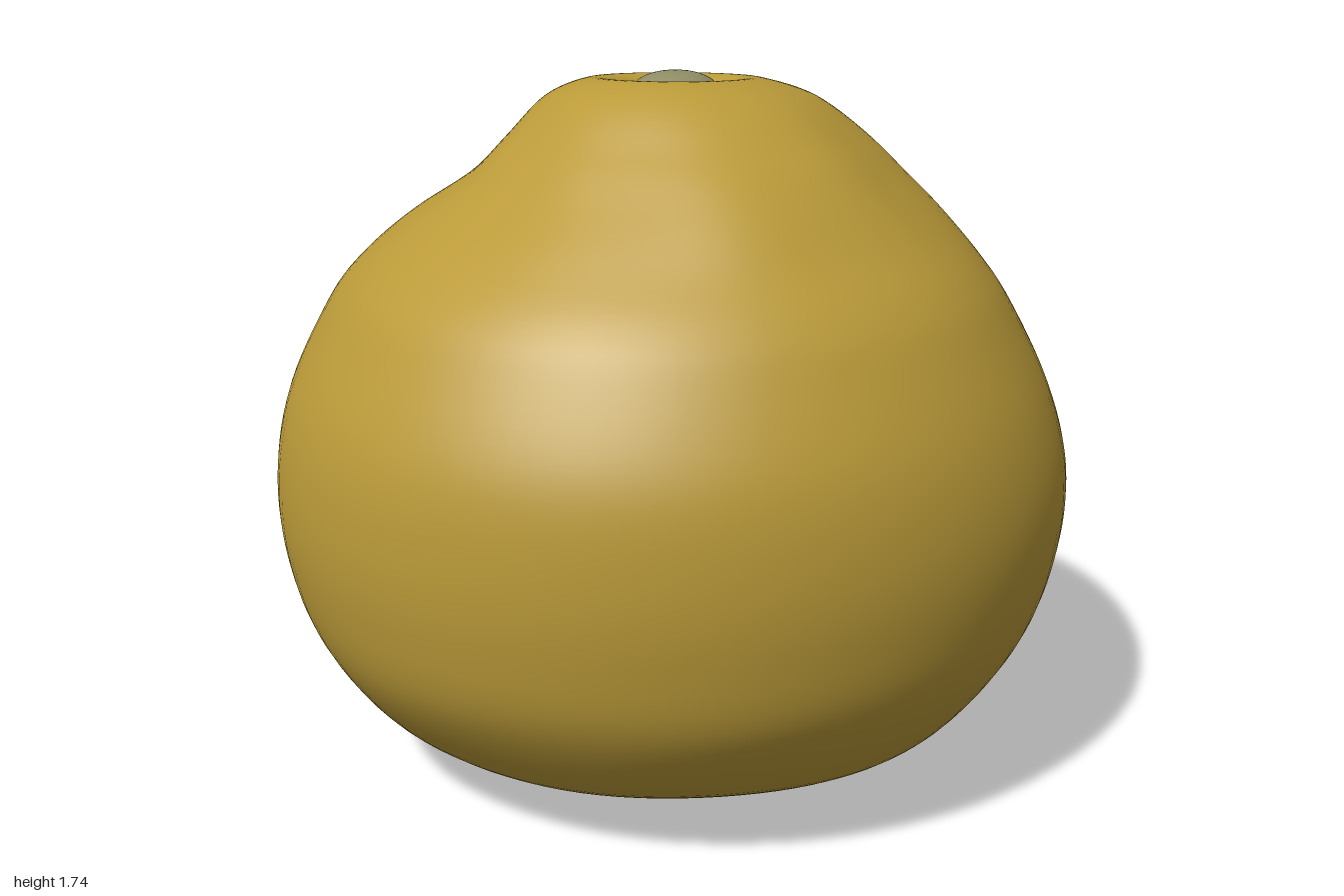
import * as THREE from 'three';

const peel = new THREE.MeshStandardMaterial({ color: 0xba9a39 });
peel.name = 'ochre peel';
const scar = new THREE.MeshStandardMaterial({ color: 0x8f8d64 });
scar.name = 'grey green stem';

// Fruit cross-sections from bottom to top: height, left, right, back and front reach
const sections = [
  [0.015, 0, 0, 0, 0], [0.02, -0.04, 0.04, -0.04, 0.04],
  [0.05, -0.09, 0.09, -0.09, 0.09], [0.05, -0.14, 0.14, -0.14, 0.14],
  [0.015, -0.25, 0.25, -0.2, 0.25], [0.005, -0.34, 0.35, -0.27, 0.35],
  [0.03, -0.46, 0.47, -0.37, 0.44], [0.1, -0.64, 0.65, -0.55, 0.58],
  [0.2, -0.78, 0.79, -0.72, 0.74], [0.4, -0.92, 0.92, -0.87, 0.895],
  [0.6, -0.985, 0.985, -0.94, 0.95], [0.8, -0.995, 0.995, -0.96, 0.965],
  [1.0, -0.95, 0.94, -0.91, 0.94], [1.2, -0.85, 0.84, -0.81, 0.85],
  [1.3, -0.77, 0.77, -0.72, 0.78], [1.4, -0.65, 0.68, -0.62, 0.67],
  [1.5, -0.5, 0.58, -0.52, 0.56], [1.6, -0.4, 0.48, -0.44, 0.44],
  [1.69, -0.31, 0.36, -0.35, 0.3], [1.73, -0.22, 0.24, -0.28, 0.2],
  [1.732, -0.16, 0.18, -0.22, 0.13], [1.705, -0.11, 0.13, -0.17, 0.07],
  [1.69, -0.07, 0.09, -0.13, 0.03], [1.69, 0.01, 0.01, -0.05, -0.05],
];

function spline(i, j) {
  const points = sections.map(s => new THREE.Vector3(s[0], s[i], s[j]));
  return new THREE.CatmullRomCurve3(points, false, 'catmullrom', 0.5);
}

const bump = (d, width) => Math.exp(-((d / width) ** 2));

// Gentle folds around the neck and faint waviness on the body
function unevenness(angle, y) {
  const neck = bump(y - 1.52, 0.16);
  const turn = Math.atan2(Math.sin(angle + 0.8), Math.cos(angle + 0.8));
  const folds = 0.012 * Math.sin(4 * angle + 6 * y) + 0.008 * Math.sin(9 * angle - 7 * y);
  const groove = -0.05 * bump(turn, 0.22) + 0.025 * bump(turn + 0.5, 0.25);
  const body = 0.004 * Math.sin(3 * angle + 2 * y) + 0.004 * bump(y - 0.2, 0.2) * Math.sin(7 * angle + 9 * y);
  return 1 + neck * (folds + groove) + body;
}

function fruitGeometry() {
  const sides = 96, rows = 138;
  const across = spline(1, 2), deep = spline(3, 4);
  const positions = [], index = [];
  for (let r = 0; r <= rows; r++) {
    const a = across.getPoint(r / rows), d = deep.getPoint(r / rows);
    const cx = (a.y + a.z) / 2, rx = (a.z - a.y) / 2;
    const cz = (d.y + d.z) / 2, rz = (d.z - d.y) / 2;
    for (let s = 0; s < sides; s++) {
      const angle = (s / sides) * Math.PI * 2;
      const k = unevenness(angle, a.x);
      const x = cx + rx * Math.cos(angle) * k, z = cz + rz * Math.sin(angle) * k;
      // The rim round the stem is a little higher at the front
      const tilt = 0.06 * z * THREE.MathUtils.smoothstep(a.x, 1.6, 1.72);
      positions.push(x, a.x + tilt, z);
      if (r === rows) continue;
      const p = r * sides + s, q = r * sides + ((s + 1) % sides);
      index.push(p, p + sides, q, q, p + sides, q + sides);
    }
  }
  const g = new THREE.BufferGeometry();
  g.setAttribute('position', new THREE.Float32BufferAttribute(positions, 3));
  g.setIndex(index);
  g.computeVertexNormals();
  return g;
}

function button(name, radius, height, x, y, z) {
  const mesh = new THREE.Mesh(new THREE.SphereGeometry(1, 32, 16), scar);
  mesh.name = name;
  mesh.scale.set(radius, height, radius);
  mesh.position.set(x, y, z);
  return mesh;
}

export function createModel() {
  const group = new THREE.Group();
  group.name = 'citrusFruit';
  const fruit = new THREE.Mesh(fruitGeometry(), peel);
  fruit.name = 'fruit';
  group.add(fruit);
  // Stem stub on top and a small blossom scar beside the bottom nub
  group.add(button('stem', 0.105, 0.045, 0.01, 1.703, -0.05));
  group.add(button('blossomScar', 0.035, 0.012, -0.08, 0.052, -0.08));
  return group;
}
